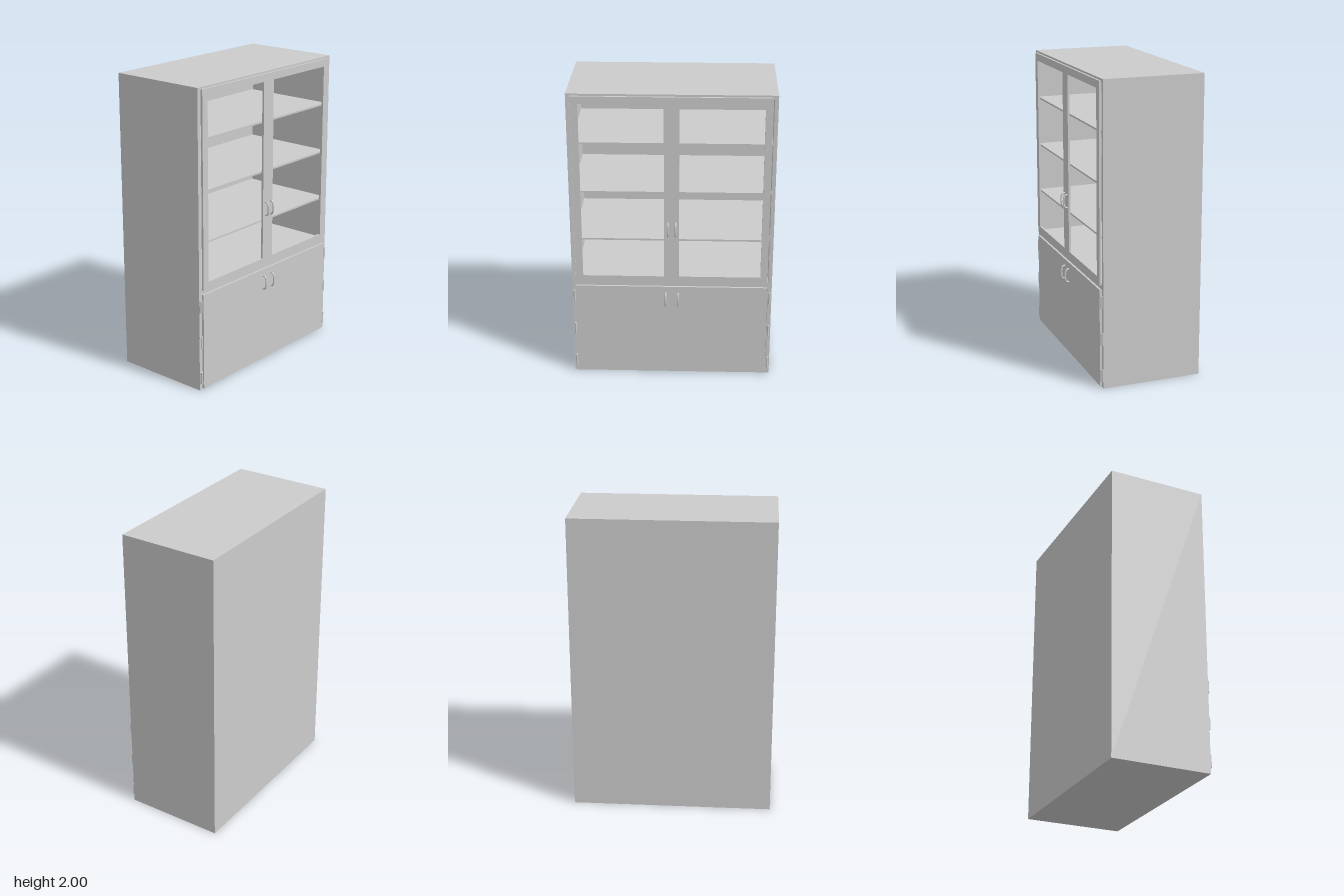
import * as THREE from 'three';

const mat = new THREE.MeshStandardMaterial({ color: 0xcccccc });

export function createModel() {
  const root = new THREE.Group();
  root.name = 'displayCabinet';

  const add = (name, geometry, parent = root) => {
    const mesh = new THREE.Mesh(geometry, mat);
    mesh.name = name;
    parent.add(mesh);
    return mesh;
  };
  // Box given by its limits on each axis
  const box = (name, x0, x1, y0, y1, z0, z1, parent) =>
    add(name, new THREE.BoxGeometry(x1 - x0, y1 - y0, z1 - z0), parent)
      .position.set((x0 + x1) / 2, (y0 + y1) / 2, (z0 + z1) / 2);

  const back = -0.36, front = 0.31, doorFront = 0.324;
  const halfW = 0.665, wall = 0.025, inner = halfW - wall;

  // Carcass: open towards +x
  for (const s of [1, -1]) {
    const z = s * (halfW - wall / 2);
    box(s > 0 ? 'leftWall' : 'rightWall', back, front, 0, 2, z - wall / 2, z + wall / 2);
  }
  box('backPanel', back, back + 0.02, 0, 2, -inner, inner);
  box('topPanel', back + 0.02, front, 2 - wall, 2, -inner, inner);
  box('bottomPanel', back + 0.02, front, 0, wall, -inner, inner);
  box('middlePanel', back + 0.02, front, 0.66, 0.7, -inner, inner);

  // Shelves behind the window openings
  for (const y of [1.0, 1.335, 1.67])
    box('shelf', back + 0.02, front - 0.005, y - 0.006, y + 0.006, -inner, inner);

  // Upper door frame with two openings
  const rect = (path, a, b, y0, y1) => {
    path.moveTo(a, y0);
    path.lineTo(b, y0);
    path.lineTo(b, y1);
    path.lineTo(a, y1);
    path.closePath();
    return path;
  };
  const frame = rect(new THREE.Shape(), -0.637, 0.634, 0.69, 1.987);
  frame.holes.push(
    rect(new THREE.Path(), -0.589, -0.05, 0.74, 1.937),
    rect(new THREE.Path(), 0.048, 0.586, 0.74, 1.937)
  );
  const frameGeo = new THREE.ExtrudeGeometry(frame, { depth: doorFront - front, bevelEnabled: false });
  frameGeo.rotateY(Math.PI / 2);
  add('upperDoorFrame', frameGeo).position.x = front;

  // Lower door
  box('lowerDoor', front, doorFront, 0.01, 0.662, -0.637, 0.639);

  // Bow handles
  const bow = new THREE.CatmullRomCurve3([
    [0.32, 0.045], [0.338, 0.043], [0.348, 0.026],
    [0.348, -0.026], [0.338, -0.043], [0.32, -0.045]
  ].map(([x, y]) => new THREE.Vector3(x, y, 0)), false, 'centripetal');
  const handleGeo = new THREE.TubeGeometry(bow, 32, 0.006, 10);
  for (const [name, y, z] of [['upperHandle', 1.085, 0.025], ['lowerHandle', 0.57, 0.041]])
    for (const s of [1, -1])
      add(name, handleGeo).position.set(0, y, s * z);

  // Hinges beside the lower door: leaf plate and pin
  for (const s of [1, -1])
    for (const y of [0.085, 0.335, 0.583]) {
      const hinge = new THREE.Group();
      hinge.name = 'hinge';
      hinge.position.set(front, y, s * 0.651);
      box('hingeLeaf', -0.002, 0.003, -0.041, 0.041, -0.012, 0.012, hinge);
      const pin = add('hingePin', new THREE.CylinderGeometry(0.007, 0.007, 0.082, 16), hinge);
      pin.position.x = 0.007;
      root.add(hinge);
    }

  return root;
}
